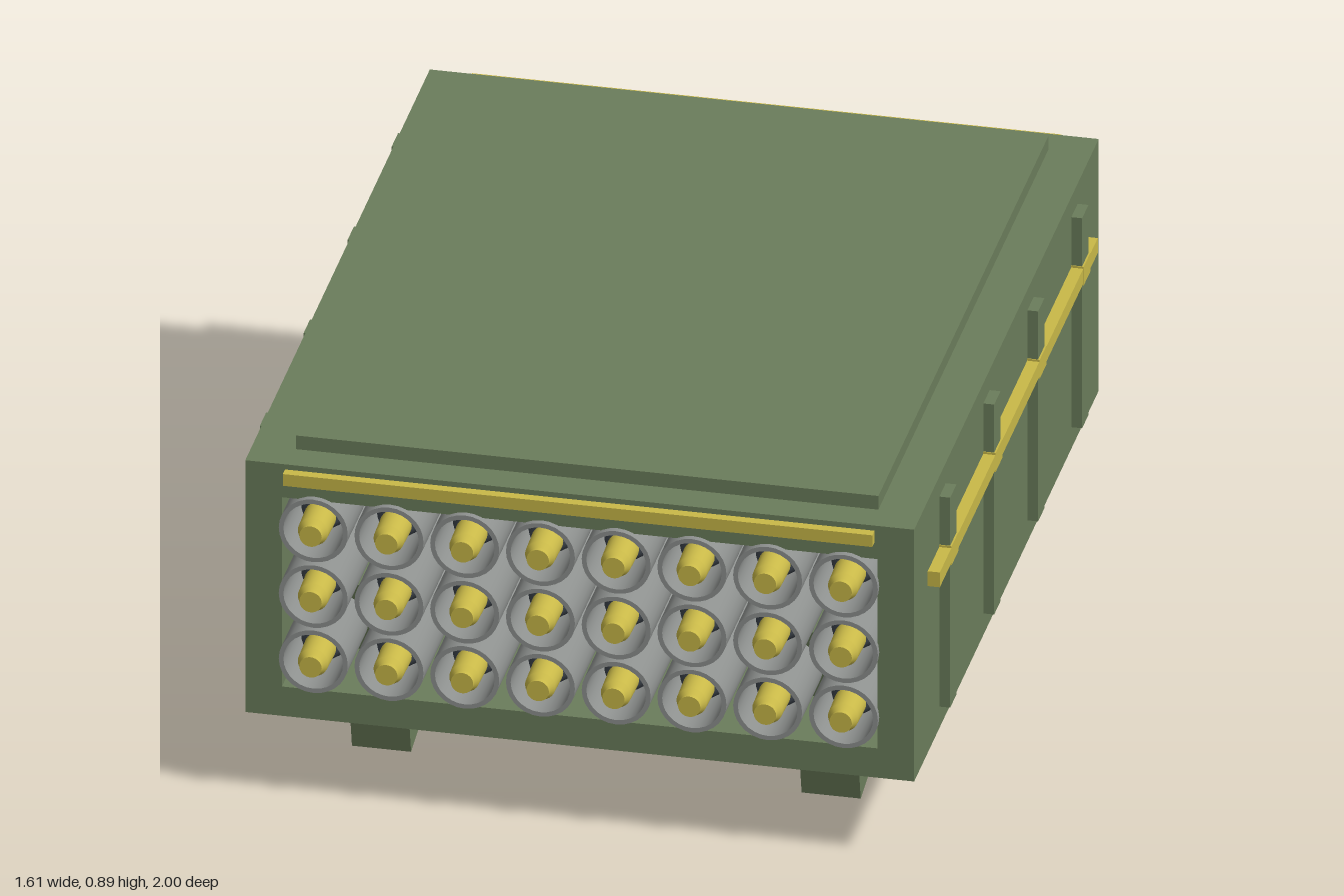
import * as THREE from 'three';

const mat = (name, color) => {
  const m = new THREE.MeshStandardMaterial({ color });
  m.name = name;
  return m;
};

export function createModel() {
  const green = mat('olive green', 0x6b7d5b);
  const yellow = mat('yellow', 0xc9b948);
  const grey = mat('tube grey', 0x8e918f);
  const dark = mat('dark slate', 0x3e454d);

  const model = new THREE.Group();
  model.name = 'rocketPod';

  const add = (name, geometry, material, parent = model) => {
    const mesh = new THREE.Mesh(geometry, material);
    mesh.name = name;
    parent.add(mesh);
    return mesh;
  };
  // box given by its minimum and maximum corners
  const box = (name, material, [x0, y0, z0], [x1, y1, z1]) =>
    add(name, new THREE.BoxGeometry(x1 - x0, y1 - y0, z1 - z0)
      .translate((x0 + x1) / 2, (y0 + y1) / 2, (z0 + z1) / 2), material);
  // turned part along z; doubled points keep the edges sharp
  const turned = (profile) => new THREE.LatheGeometry(
    profile.flatMap(([r, z]) => [new THREE.Vector2(r, z), new THREE.Vector2(r, z)]), 28
  ).rotateX(Math.PI / 2);

  // hollow casing, open at the front and back
  const casing = new THREE.Shape([[-0.775, 0.21], [0.775, 0.21], [0.775, 0.855], [-0.775, 0.855]]
    .map(p => new THREE.Vector2(...p)));
  casing.holes.push(new THREE.Path([[-0.69, 0.285], [-0.69, 0.77], [0.69, 0.77], [0.69, 0.285]]
    .map(p => new THREE.Vector2(...p))));
  add('casing', new THREE.ExtrudeGeometry(casing, { depth: 1.93, bevelEnabled: false })
    .translate(0, 0, -0.973), green);
  box('roofPlate', green, [-0.675, 0.85, -0.9], [0.675, 0.89, 0.88]);

  // strips above the openings
  box('frontStrip', yellow, [-0.683, 0.812, 0.95], [0.683, 0.842, 0.98]);
  box('backStrip', yellow, [-0.683, 0.812, -1], [0.683, 0.842, -0.97]);

  // side rails, brackets and tilted legs
  for (const s of [-1, 1]) {
    const side = s > 0 ? 'left' : 'right';
    const span = (a, b) => [Math.min(s * a, s * b), Math.max(s * a, s * b)];
    const sideBox = (name, m, [a, b], [y0, y1], [z0, z1]) => {
      const [x0, x1] = span(a, b);
      box(side + name, m, [x0, y0, z0], [x1, y1, z1]);
    };
    sideBox('Rail', yellow, [0.77, 0.803], [0.637, 0.675], [-0.837, 0.815]);
    for (const z of [0.66, 0.2, -0.26, -0.72]) {
      sideBox('Bracket', green, [0.77, 0.8], [0.265, 0.803], [z - 0.033, z + 0.033]);
      sideBox('RailClip', yellow, [0.775, 0.804], [0.632, 0.68], [z - 0.035, z + 0.035]);
    }
    const leg = add(side + 'Leg', new THREE.BoxGeometry(0.137, 0.48, 0.195), green);
    leg.position.set(s * 0.521, 0.256, 0.635);
    leg.rotation.x = 0.216;
  }
  box('crossBar', green, [-0.588, 0.135, 0.43], [0.588, 0.27, 0.53]);

  // launch tubes with a rocket in each
  const tubeGeo = turned([
    [0.08, -0.988], [0.08, 0.972], [0.069, 0.972], [0.069, -0.988], [0.08, -0.988]]);
  const bodyGeo = turned([
    [0, -0.6], [0.0685, -0.6], [0.0685, 0.78], [0.055, 0.85], [0.037, 0.9]]);
  const noseGeo = turned([
    [0.037, 0.9], [0.035, 0.975], [0.027, 0.99], [0.026, 1], [0, 1]]);
  for (const y of [0.365, 0.532, 0.7]) {
    for (let i = 0; i < 8; i++) {
      const cell = new THREE.Group();
      cell.name = 'launchCell';
      cell.position.set((i - 3.5) * 0.1755, y, 0);
      model.add(cell);
      add('launchTube', tubeGeo, grey, cell);
      add('rocketBody', bodyGeo, dark, cell);
      add('rocketNose', noseGeo, yellow, cell);
    }
  }
  return model;
}
